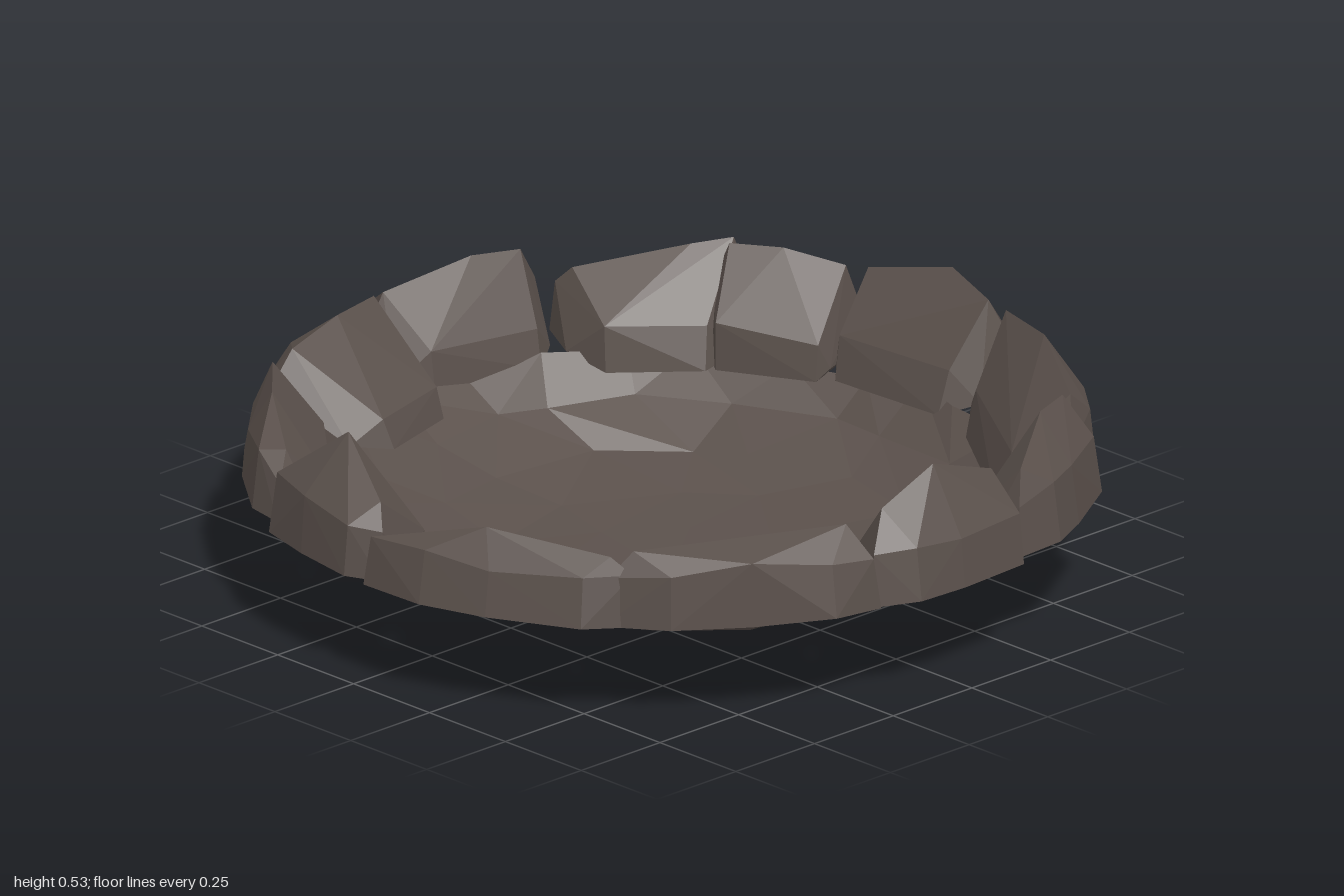
import * as THREE from 'three';
import { ConvexGeometry } from 'three/addons/geometries/ConvexGeometry.js';

// Small seeded jitter, centred on zero
let seed = 7;
function jitter(amount) {
  seed = (seed * 16807) % 2147483647;
  return (seed / 2147483647 - 0.5) * amount;
}

// Point on the ring: angle in degrees from the front towards +x
function polar(degrees, radius, y) {
  const a = THREE.MathUtils.degToRad(degrees);
  return new THREE.Vector3(radius * Math.sin(a), y, radius * Math.cos(a));
}

// Boulders: start and end angle, inner and outer radius,
// peak position along the arc, then start, peak and end heights
const ROCKS = {
  frontLeftRock: [1, 42, 0.8, 1.01, 0.45, 0.38, 0.44, 0.41],
  leftFrontRock: [37, 76, 0.77, 1.0, 0.5, 0.42, 0.42, 0.44],
  leftRock: [75, 104, 0.78, 1.0, 0.46, 0.46, 0.53, 0.46],
  leftBackRock: [103, 132, 0.75, 1.0, 0.6, 0.44, 0.49, 0.48],
  backLeftRock: [127, 170, 0.75, 0.98, 0.5, 0.46, 0.51, 0.48],
  backRock: [168, 199, 0.75, 1.0, 0.4, 0.47, 0.5, 0.44],
  backRightInnerRock: [197, 220, 0.72, 0.98, 0.5, 0.44, 0.47, 0.47],
  backRightOuterRock: [214, 243, 0.71, 0.99, 0.3, 0.47, 0.46, 0.41],
  rightBackRock: [244, 274, 0.78, 1.0, 0.4, 0.46, 0.47, 0.43],
  rightFrontRock: [273, 302, 0.66, 1.0, 0.5, 0.46, 0.47, 0.44],
  frontRightRock: [302, 335, 0.77, 0.98, 0.55, 0.45, 0.47, 0.4],
  frontRock: [334, 362, 0.73, 0.99, 0.52, 0.4, 0.53, 0.42],
};

function makeRock([a0, a1, inner, outer, peak, h0, hPeak, h1]) {
  const points = [];
  const add = (t, depth, y) => points.push(
    polar(THREE.MathUtils.lerp(a0, a1, t), THREE.MathUtils.lerp(inner, outer, depth), y));

  // Steep outer wall: flat foot and a slightly leaning shoulder
  for (const t of [0.2, 0.52, 0.83]) {
    const u = t + jitter(0.12);
    add(u, t === 0.52 ? 0.98 : 1, 0.25);
    add(u, 0.92 + jitter(0.08), 0.38 + jitter(0.05));
  }
  // Blunt ends, where neighbours meet
  for (const t of [0, 1]) {
    const depth = 0.8 + jitter(0.2);
    add(t, depth, 0.245);
    add(t * 0.96 + 0.02, depth - 0.05, 0.35 + jitter(0.05));
    add(t * 0.98 + 0.01, 0.3 + jitter(0.25), 0.235);
  }
  // Inner foot dips to the basin and slopes up to the crest
  for (const t of [0.14, 0.84]) {
    const u = t + jitter(0.14);
    add(u, 0.03 + jitter(0.1), 0.21);
    add(u, 0.12 + jitter(0.1), 0.3 + jitter(0.05));
  }
  // Crest ridge
  add(0.11 + jitter(0.06), 0.65 + jitter(0.2), h0);
  add(peak, 0.6 + jitter(0.15), hPeak);
  add(0.89 + jitter(0.06), 0.65 + jitter(0.2), h1);

  // Drop the triangles that face the ground: the boulders are open shells
  const hull = new ConvexGeometry(points);
  const { array } = hull.attributes.position;
  const normal = hull.attributes.normal;
  const kept = [];
  for (let v = 0; v < normal.count; v += 3) {
    if (normal.getY(v) > -0.7) kept.push(...array.slice(v * 3, v * 3 + 9));
  }
  const shell = new THREE.BufferGeometry();
  shell.setAttribute('position', new THREE.Float32BufferAttribute(kept, 3));
  shell.computeVertexNormals();
  return shell;
}

// Shallow faceted basin: rings of irregular points around one centre point
function makeBasin() {
  // Ring radius, height and point count
  const rings = [[0.25, 0.02, 7], [0.42, 0.035, 11], [0.57, 0.08, 16], [0.69, 0.15, 22], [0.8, 0.235, 26]];
  const points = [new THREE.Vector3(0, 0, 0)];
  const index = [];
  let prev = { start: 0, n: 1 };
  for (const [radius, y, n] of rings) {
    const start = points.length;
    for (let i = 0; i < n; i++) {
      points.push(polar(((i + jitter(0.5)) / n) * 360, radius + jitter(0.05), y + jitter(radius * 0.03)));
    }
    // Stitch rings of different counts, advancing along whichever lags
    let i = 0;
    let j = 0;
    while (j < n || (prev.n > 1 && i < prev.n)) {
      const a = prev.start + (i % prev.n);
      const b = start + (j % n);
      if (j < n && (prev.n === 1 || i >= prev.n || (j + 1) / n <= (i + 1) / prev.n)) {
        index.push(a, b, start + ((j + 1) % n));
        j++;
      } else {
        index.push(a, b, prev.start + ((i + 1) % prev.n));
        i++;
      }
    }
    prev = { start, n };
  }
  const geometry = new THREE.BufferGeometry().setFromPoints(points);
  geometry.setIndex(index);
  geometry.computeVertexNormals();
  return geometry;
}

export function createModel() {
  seed = 7;
  const group = new THREE.Group();
  group.name = 'rockRingBasin';
  const stone = new THREE.MeshStandardMaterial({
    color: 0x5a504b, flatShading: true, side: THREE.DoubleSide,
  });
  stone.name = 'brownStone';

  const basin = new THREE.Mesh(makeBasin(), stone);
  basin.name = 'basin';
  group.add(basin);

  // Ring of boulders around the rim
  for (const [name, rock] of Object.entries(ROCKS)) {
    const mesh = new THREE.Mesh(makeRock(rock), stone);
    mesh.name = name;
    group.add(mesh);
  }
  return group;
}
